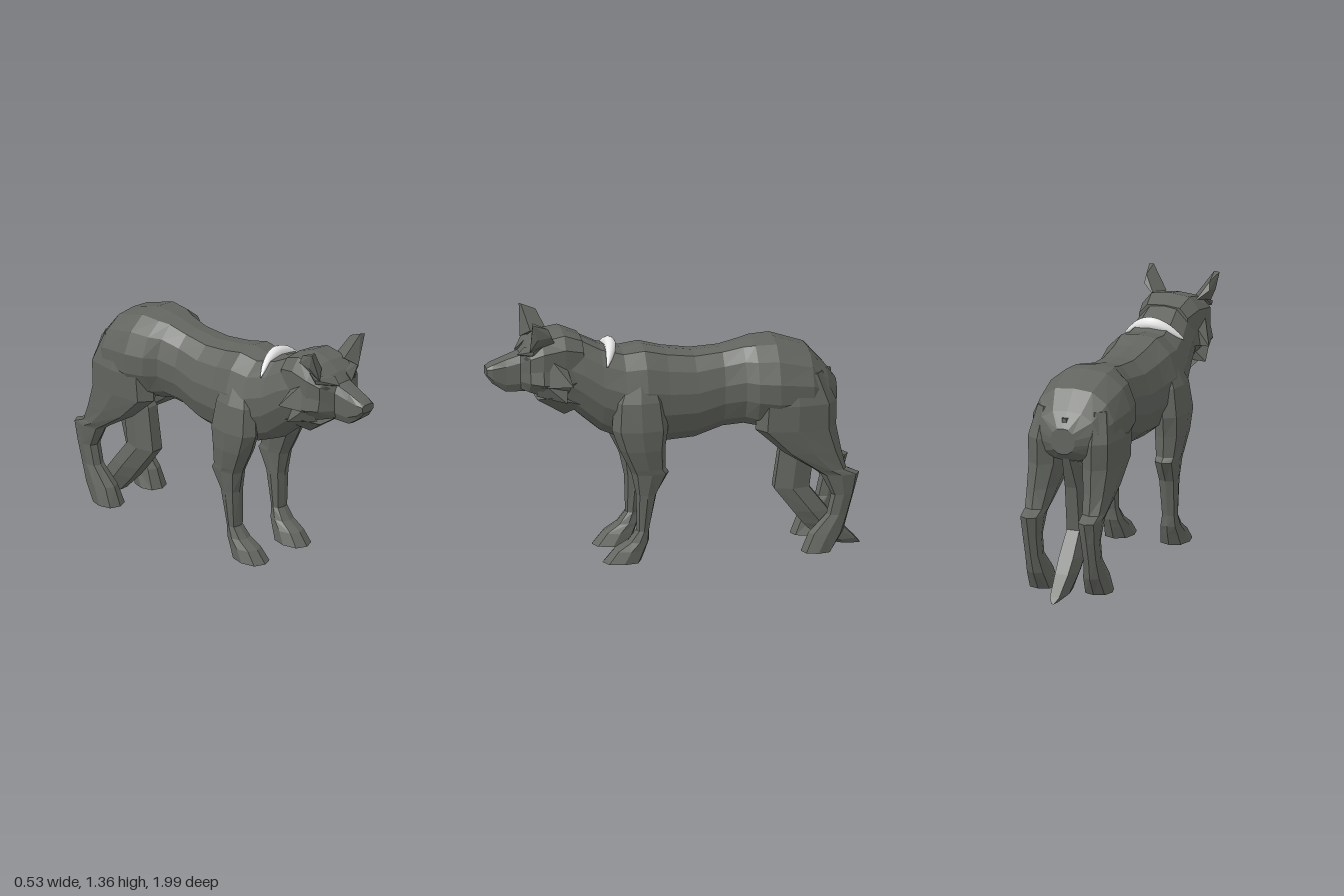
import * as THREE from 'three';
import { ConvexGeometry } from 'three/addons/geometries/ConvexGeometry.js';

const fur = new THREE.MeshStandardMaterial({ color: 0x62655f });
const eyeDark = new THREE.MeshStandardMaterial({ color: 0x4a4d48 });
const white = new THREE.MeshStandardMaterial({ color: 0xf0f0f0 });

// Skin a list of rings (arrays of [x, y, z]) and close both ends; faces always point outward
function loft(rings, smooth = false) {
  const n = rings[0].length;
  const pts = rings.flat();
  const tris = [];
  for (let i = 0; i < rings.length - 1; i++) {
    for (let j = 0; j < n; j++) {
      const a = i * n + j, b = i * n + (j + 1) % n;
      tris.push([a, b, a + n], [b, b + n, a + n]);
    }
  }
  [0, rings.length - 1].forEach((r, end) => {
    const c = [0, 1, 2].map(k => rings[r].reduce((s, p) => s + p[k], 0) / n);
    pts.push(c);
    const ci = pts.length - 1;
    for (let j = 0; j < n; j++) {
      const a = r * n + j, b = r * n + (j + 1) % n;
      tris.push(end ? [a, b, ci] : [b, a, ci]);
    }
  });
  const v = pts.map(p => new THREE.Vector3(...p));
  const volume = tris.reduce((s, [a, b, c]) => s + v[a].dot(v[b].clone().cross(v[c])), 0);
  if (volume < 0) tris.forEach(t => t.reverse());
  const g = new THREE.BufferGeometry().setFromPoints(v);
  g.setIndex(tris.flat());
  const out = smooth ? g : g.toNonIndexed();
  out.computeVertexNormals();
  return out;
}

// Upright rings along z: [z, top, bottom, halfWidth], using a half outline of [x, y] fractions
function alongZ(sections, half) {
  const mirrored = half.slice(1, -1).reverse().map(([x, y]) => [-x, y]);
  const outline = [...half, ...mirrored];
  return loft(sections.map(([z, top, bottom, w]) => outline.map(([x, y]) =>
    [x * w, (top + bottom) / 2 + y * (top - bottom) / 2, z])));
}

// Level rings down y: [y, zFront, zBack, xInner, xOuter]
function downY(sections, side = 1, sides = 8) {
  return loft(sections.map(([y, zf, zb, xi, xo]) => {
    const ring = [];
    for (let j = 0; j < sides; j++) {
      const t = j / sides * Math.PI * 2;
      // slightly squared oval
      const c = Math.sign(Math.cos(t)) * Math.abs(Math.cos(t)) ** 0.8;
      const s = Math.sign(Math.sin(t)) * Math.abs(Math.sin(t)) ** 0.8;
      ring.push([side * ((xi + xo) / 2 + c * (xo - xi) / 2), y, (zf + zb) / 2 + s * (zf - zb) / 2]);
    }
    return ring;
  }));
}

const hull = (points, side = 1) =>
  new ConvexGeometry(points.map(([x, y, z]) => new THREE.Vector3(side * x, y, z)));

const roundHalf = [[0, 1], [0.45, 0.95], [0.8, 0.66], [0.98, 0.2], [0.97, -0.25], [0.75, -0.7], [0.38, -0.94], [0, -1]];
const headHalf = [[0, 1], [0.62, 0.94], [0.92, 0.6], [0.92, 0.05], [1, -0.4], [0.65, -0.85], [0, -1]];
const muzzleHalf = [[0, 1], [0.7, 0.97], [1, 0.6], [1, -0.5], [0.7, -0.95], [0, -1]];

export function createModel() {
  const model = new THREE.Group();
  const add = (name, geometry, material = fur) => {
    const mesh = new THREE.Mesh(geometry, material);
    mesh.name = name;
    model.add(mesh);
  };

  // Neck, chest, belly and rump
  add('body', alongZ([
    [0.62, 1.24, 0.90, 0.15], [0.5, 1.225, 0.79, 0.17], [0.4, 1.175, 0.705, 0.19],
    [0.28, 1.145, 0.655, 0.21], [0.17, 1.16, 0.635, 0.22], [0.05, 1.13, 0.63, 0.2],
    [-0.1, 1.11, 0.64, 0.185], [-0.25, 1.12, 0.69, 0.165], [-0.36, 1.145, 0.7, 0.185],
    [-0.42, 1.155, 0.69, 0.235], [-0.53, 1.16, 0.67, 0.255], [-0.71, 1.1, 0.7, 0.235],
    [-0.8, 1.0, 0.73, 0.18], [-0.86, 0.92, 0.78, 0.07],
  ], roundHalf));

  // Skull and muzzle
  add('head', alongZ([
    [0.5, 1.23, 0.93, 0.15], [0.6, 1.27, 0.89, 0.175], [0.72, 1.245, 0.915, 0.19],
    [0.785, 1.2, 0.94, 0.155], [0.825, 1.15, 0.95, 0.075],
  ], headHalf));
  add('muzzle', alongZ([
    [0.76, 1.17, 0.95, 0.085], [0.83, 1.15, 0.945, 0.068], [0.9, 1.125, 0.945, 0.056],
    [0.97, 1.097, 0.995, 0.052], [1.0, 1.08, 1.035, 0.042],
  ], muzzleHalf));

  // Pointed tuft under the chin
  add('chinTuft', hull([
    [0.17, 0.94, 0.68], [-0.17, 0.94, 0.68], [0.09, 0.91, 0.74], [-0.09, 0.91, 0.74],
    [0.13, 0.88, 0.5], [-0.13, 0.88, 0.5], [0, 0.795, 0.58],
  ]));

  for (const [label, s] of [['left', 1], ['right', -1]]) {
    add(label + 'Ear', hull([
      [0.2, 1.355, 0.785], [0.172, 1.36, 0.78], [0.085, 1.235, 0.745], [0.145, 1.19, 0.79],
      [0.19, 1.27, 0.755], [0.185, 1.28, 0.68], [0.115, 1.22, 0.65], [0.18, 1.325, 0.7],
    ], s));

    // Brow ridge slanting down to the muzzle
    add(label + 'Brow', hull([
      [0.045, 1.15, 0.84], [0.04, 1.19, 0.8], [0.165, 1.2, 0.775], [0.16, 1.175, 0.775],
      [0.15, 1.22, 0.72], [0.06, 1.14, 0.8],
    ], s));
    add(label + 'Eye', hull([
      [0.085, 1.14, 0.812], [0.11, 1.155, 0.802], [0.14, 1.15, 0.785],
      [0.115, 1.125, 0.8], [0.11, 1.14, 0.78],
    ], s), eyeDark);

    // Swept-back cheek fur
    add(label + 'CheekFur', hull([
      [0.16, 1.15, 0.68], [0.175, 1.0, 0.73], [0.13, 1.12, 0.6], [0.14, 1.0, 0.6], [0.23, 1.01, 0.57],
    ], s));
    add(label + 'JawFur', hull([
      [0.175, 1.03, 0.73], [0.12, 0.94, 0.75], [0.12, 1.0, 0.58], [0.1, 0.92, 0.6], [0.198, 0.915, 0.6],
    ], s));

    // Legs with shoulders, elbows, hocks and paws
    add(label + 'FrontLeg', downY([
      [1.03, 0.28, 0.13, 0.1, 0.18], [0.9, 0.345, 0.08, 0.1, 0.24], [0.75, 0.36, 0.06, 0.1, 0.264],
      [0.64, 0.32, 0.075, 0.1, 0.26], [0.53, 0.265, 0.075, 0.112, 0.243], [0.505, 0.255, 0.055, 0.113, 0.238],
      [0.39, 0.23, 0.12, 0.118, 0.224], [0.19, 0.225, 0.16, 0.122, 0.212], [0.13, 0.275, 0.16, 0.108, 0.217],
      [0.085, 0.35, 0.175, 0.095, 0.224], [0.02, 0.405, 0.2, 0.082, 0.233],
    ], s));
    add(label + 'HindLeg', downY([
      [1.0, -0.46, -0.77, 0.08, 0.21], [0.84, -0.42, -0.84, 0.06, 0.25], [0.7, -0.41, -0.84, 0.06, 0.245],
      [0.57, -0.555, -0.865, 0.085, 0.235], [0.47, -0.715, -0.89, 0.1, 0.225], [0.44, -0.755, -0.96, 0.105, 0.222],
      [0.33, -0.81, -0.93, 0.115, 0.215], [0.22, -0.785, -0.9, 0.118, 0.212], [0.12, -0.69, -0.875, 0.1, 0.22],
      [0.02, -0.65, -0.815, 0.085, 0.23],
    ], s));
  }

  // Tail hanging between the hind legs, tip swept back to the ground
  add('tail', downY([
    [0.97, -0.79, -0.84, -0.02, 0.02], [0.8, -0.74, -0.845, -0.03, 0.03], [0.57, -0.555, -0.76, -0.058, 0.058],
    [0.33, -0.52, -0.73, -0.062, 0.062], [0.2, -0.62, -0.83, -0.07, 0.07], [0.13, -0.675, -0.885, -0.064, 0.064],
    [0.03, -0.77, -0.98, -0.045, 0.045], [0.0, -0.9, -1.0, -0.012, 0.012],
  ], 1, 6));

  // White crescent of fur over the nape
  const crescent = [];
  for (let i = 0; i <= 14; i++) {
    const a = i / 7 - 1, r = 0.036 * (1 - 0.85 * a * a);
    crescent.push(Array.from({ length: 10 }, (_, j) => {
      const t = j / 10 * Math.PI * 2;
      return [0.165 * a, 1.17 - 0.075 * a * a + r * Math.cos(t), 0.34 + 0.04 * a * a + r * 0.9 * Math.sin(t)];
    }));
  }
  add('napeFur', loft(crescent, true), white);

  return model;
}
